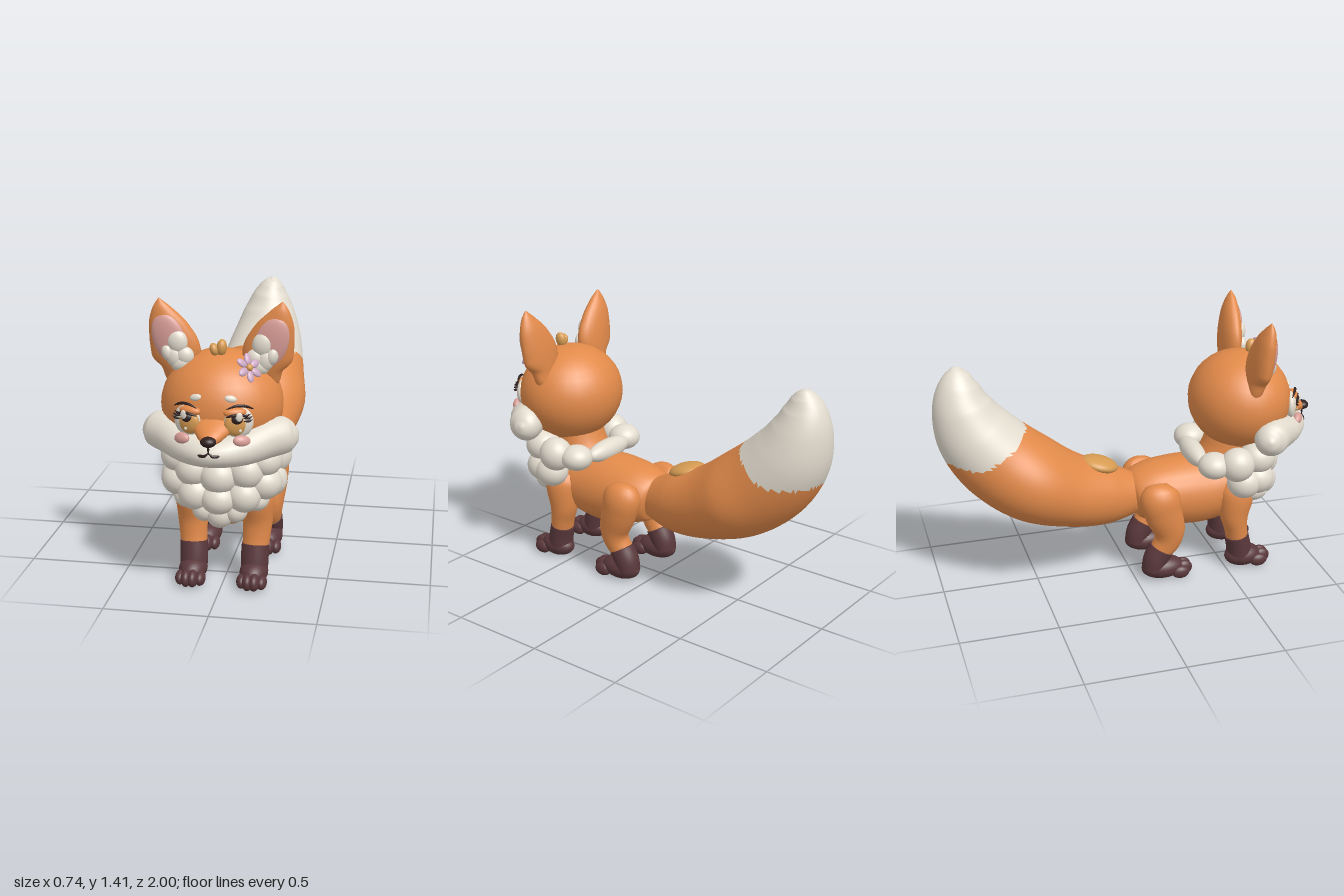
import * as THREE from 'three';

const colour = (name, color) => {
  const m = new THREE.MeshStandardMaterial({ color });
  m.name = name;
  return m;
};
const orange = colour('orange fur', 0xe28a4a);
const cream = colour('cream fur', 0xe3dccf);
const brown = colour('brown paw', 0x5a383b);
const pink = colour('pink skin', 0xd99e97);
const lilac = colour('lilac petal', 0xcca8c4);
const tan = colour('tan', 0xd69b52);
const dark = colour('dark', 0x30201f);

function add(parent, name, geometry, material) {
  const mesh = new THREE.Mesh(geometry, material);
  mesh.name = name;
  parent.add(mesh);
  return mesh;
}

// Ellipsoid with centre, radii and rotation
function ball(parent, name, material, pos, radii, rot = [0, 0, 0]) {
  const mesh = add(parent, name, new THREE.SphereGeometry(1, 28, 18), material);
  mesh.position.set(...pos);
  mesh.scale.set(...radii);
  mesh.rotation.set(...rot);
  return mesh;
}

// Smooth closed skin through sections [x, y, z, radius along side, radius across]
function sweep(sections, side = [1, 0, 0], rings = 28, sides = 24) {
  const path = new THREE.CatmullRomCurve3(sections.map(s => new THREE.Vector3(s[0], s[1], s[2])));
  const size = new THREE.CatmullRomCurve3(sections.map(s => new THREE.Vector3(s[3], s[4], 0)), false, 'catmullrom');
  const pos = [], index = [];
  for (let i = 0; i <= rings; i++) {
    const p = path.getPoint(i / rings), t = path.getTangent(i / rings), r = size.getPoint(i / rings);
    const u = new THREE.Vector3(...side);
    u.addScaledVector(t, -u.dot(t)).normalize();
    const v = new THREE.Vector3().crossVectors(t, u);
    for (let j = 0; j < sides; j++) {
      const a = j / sides * Math.PI * 2;
      const q = p.clone().addScaledVector(u, Math.cos(a) * Math.max(r.x, 0.001))
        .addScaledVector(v, Math.sin(a) * Math.max(r.y, 0.001));
      pos.push(q.x, q.y, q.z);
      if (i === rings) continue;
      const k = (j + 1) % sides, A = i * sides + j, B = i * sides + k;
      index.push(A, B, A + sides, B, B + sides, A + sides);
    }
  }
  // End caps
  const first = (rings + 1) * sides, end = rings * sides;
  for (const s of [sections[0], sections[sections.length - 1]]) pos.push(s[0], s[1], s[2]);
  for (let j = 0; j < sides; j++) {
    const k = (j + 1) % sides;
    index.push(first, k, j, first + 1, end + j, end + k);
  }
  const g = new THREE.BufferGeometry();
  g.setAttribute('position', new THREE.Float32BufferAttribute(pos, 3));
  g.setIndex(index);
  g.computeVertexNormals();
  return g;
}

// Thin tapered line
const stroke = (parent, name, material, points, r) => add(parent, name,
  sweep(points.map((p, i) => [...p, ...(i % (points.length - 1) ? [r, r] : [r * 0.3, r * 0.3])]), [0, 0, 1], 14, 8), material);

function buildTail(parent) {
  const g = sweep([
    [0, 0.435, 0.05, 0.10, 0.105], [0, 0.455, -0.12, 0.165, 0.162], [-0.005, 0.508, -0.32, 0.225, 0.19],
    [-0.01, 0.607, -0.52, 0.272, 0.22], [0, 0.742, -0.69, 0.235, 0.218], [0.01, 0.89, -0.80, 0.196, 0.192],
    [0.015, 1.03, -0.85, 0.148, 0.148], [0.02, 1.13, -0.86, 0.1, 0.105], [0.027, 1.19, -0.857, 0.06, 0.064],
    [0.03, 1.218, -0.853, 0.03, 0.032], [0.03, 1.227, -0.85, 0.003, 0.003]], [1, 0, 0], 90, 56);
  // Cream tip above a slanting fur line
  const p = g.attributes.position, idx = g.index.array, parts = [[], []];
  for (let i = 0; i < idx.length; i += 3) {
    const tri = [idx[i], idx[i + 1], idx[i + 2]];
    const mid = f => tri.reduce((s, k) => s + f.call(p, k), 0) / 3;
    const line = Math.max(0.76, 0.76 + (mid(p.getZ) + 0.78) * 0.58) + 0.004 * Math.sin(mid(p.getX) * 45);
    parts[mid(p.getY) > line ? 1 : 0].push(...tri);
  }
  g.setIndex([...parts[0], ...parts[1]]);
  g.addGroup(0, parts[0].length, 0);
  g.addGroup(parts[0].length, parts[1].length, 1);
  add(parent, 'tail', g, [orange, cream]);
  ball(parent, 'tailSpot', tan, [-0.015, 0.637, -0.16], [0.088, 0.038, 0.1], [0.28, 0, 0]);
}

function buildPaw(parent, name, x, z, length) {
  ball(parent, name, brown, [x, 0.06, z], [0.069, 0.06, length]);
  for (let i = 0; i < 4; i++) {
    const o = i - 1.5, inner = Math.abs(o) < 1;
    ball(parent, name + 'Toe', brown, [x + o * 0.032, inner ? 0.045 : 0.038, z + length * 0.75 + (inner ? 0.025 : 0)],
      [0.026, inner ? 0.042 : 0.035, 0.048]);
  }
}

function buildLegs(parent, s) {
  add(parent, 'frontLeg', sweep([[s * 0.14, 0.5, 0.55, 0.06, 0.075], [s * 0.158, 0.44, 0.55, 0.08, 0.094],
    [s * 0.16, 0.32, 0.54, 0.074, 0.077], [s * 0.156, 0.24, 0.552, 0.068, 0.062], [s * 0.152, 0.17, 0.565, 0.064, 0.058]]), orange);
  add(parent, 'frontSock', sweep([[s * 0.152, 0.19, 0.56, 0.068, 0.064], [s * 0.15, 0.12, 0.575, 0.068, 0.066],
    [s * 0.15, 0.05, 0.585, 0.066, 0.07]]), brown);
  buildPaw(parent, 'frontPaw', s * 0.15, 0.6, 0.1);
  add(parent, 'hindLeg', sweep([[s * 0.13, 0.525, 0.12, 0.04, 0.06], [s * 0.165, 0.485, 0.12, 0.083, 0.104],
    [s * 0.175, 0.39, 0.14, 0.08, 0.1], [s * 0.172, 0.28, 0.175, 0.068, 0.084], [s * 0.167, 0.22, 0.168, 0.063, 0.072],
    [s * 0.16, 0.15, 0.125, 0.058, 0.058]]), orange);
  add(parent, 'hindSock', sweep([[s * 0.16, 0.172, 0.138, 0.066, 0.068], [s * 0.16, 0.11, 0.105, 0.066, 0.066],
    [s * 0.16, 0.05, 0.09, 0.062, 0.06]]), brown);
  buildPaw(parent, 'hindPaw', s * 0.16, 0.145, 0.115);
}

function buildRuff(parent) {
  // Chest tufts on the centre line, then mirrored ones: x, y, z, radii
  const centre = [[0, 0.585, 0.72, 0.09, 0.085, 0.085], [0, 0.475, 0.725, 0.085, 0.075, 0.08],
    [0, 0.39, 0.69, 0.068, 0.072, 0.07], [0, 0.635, 0.355, 0.16, 0.056, 0.055]];
  const pairs = [[0.125, 0.61, 0.69, 0.088, 0.088, 0.09], [0.115, 0.49, 0.695, 0.085, 0.085, 0.085],
    [0.075, 0.41, 0.69, 0.058, 0.062, 0.06], [0.2, 0.54, 0.64, 0.09, 0.085, 0.09],
    [0.165, 0.455, 0.64, 0.065, 0.06, 0.075], [0.22, 0.53, 0.565, 0.085, 0.085, 0.09],
    [0.2, 0.655, 0.64, 0.09, 0.085, 0.095], [0.235, 0.64, 0.52, 0.085, 0.09, 0.09],
    [0.2, 0.635, 0.405, 0.085, 0.068, 0.085]];
  for (const c of centre) ball(parent, 'ruffTuft', cream, c.slice(0, 3), c.slice(3));
  for (const s of [1, -1])
    for (const c of pairs) ball(parent, 'ruffTuft', cream, [s * c[0], c[1], c[2]], c.slice(3));
  ball(parent, 'ruffCore', cream, [0, 0.59, 0.61], [0.2, 0.13, 0.11]);
}

function buildEar(parent, s) {
  add(parent, 'ear', sweep([[0.25, 0.985, 0.595, 0.008, 0.01], [0.232, 1.02, 0.60, 0.045, 0.035],
    [0.21, 1.08, 0.612, 0.088, 0.048], [0.213, 1.15, 0.622, 0.118, 0.054], [0.237, 1.23, 0.63, 0.106, 0.052],
    [0.265, 1.31, 0.64, 0.076, 0.042], [0.28, 1.37, 0.648, 0.038, 0.024], [0.286, 1.408, 0.65, 0.003, 0.003]]
    .map(([x, ...r]) => [s * x, ...r])), orange);
  ball(parent, 'innerEar', pink, [s * 0.235, 1.215, 0.662], [0.078, 0.13, 0.028], [0.07, 0, -s * 0.33]);
  for (const [x, y, rx, ry] of [[0.2, 1.212, 0.05, 0.06], [0.165, 1.145, 0.044, 0.046], [0.21, 1.14, 0.042, 0.055],
    [0.242, 1.16, 0.03, 0.045], [0.18, 1.11, 0.05, 0.04]])
    ball(parent, 'earTuft', cream, [s * x, y, 0.668], [rx, ry, 0.033], [0, 0, -s * 0.25]);
}

function buildEye(parent, s) {
  const eye = new THREE.Group();
  eye.name = 'eye';
  eye.position.set(s * 0.112, 0.897, 0.85);
  eye.rotation.y = s * 0.36;
  parent.add(eye);
  ball(eye, 'eyeWhite', cream, [s * 0.006, -0.003, 0], [0.068, 0.072, 0.03]);
  ball(eye, 'iris', tan, [-s * 0.01, -0.006, 0.012], [0.053, 0.055, 0.025]);
  ball(eye, 'upperEyelid', orange, [-s * 0.012, 0.046, 0.006], [0.054, 0.024, 0.028]);
  ball(eye, 'pupil', dark, [-s * 0.008, 0.018, 0.024], [0.028, 0.024, 0.02]);
  ball(eye, 'eyeGlint', cream, [0, 0.034, 0.042], [0.016, 0.021, 0.007]);
  ball(eye, 'eyeGlint', cream, [0.006, -0.032, 0.036], [0.007, 0.008, 0.004]);
  stroke(eye, 'upperLid', dark, [[-s * 0.058, 0.03, 0.025], [-s * 0.03, 0.04, 0.036], [s * 0.015, 0.04, 0.036],
    [s * 0.052, 0.018, 0.026]], 0.007);
  stroke(eye, 'brow', dark, [[-s * 0.055, 0.066, 0.02], [-s * 0.01, 0.08, 0.02], [s * 0.035, 0.075, 0.015],
    [s * 0.072, 0.058, 0.004]], 0.0065);
  for (const [x, y] of [[0.034, 0.036], [0.042, 0.024], [0.044, 0.01]])
    stroke(eye, 'lash', dark, [[s * (x - 0.02), y, 0.03], [s * x, y, 0.033], [s * (x + 0.018), y + 0.008, 0.034]], 0.006);
  ball(parent, 'browSpot', cream, [s * 0.08, 1.0, 0.842], [0.028, 0.016, 0.012], [-0.35, s * 0.3, -s * 0.1]);
  ball(parent, 'blush', pink, [s * 0.137, 0.818, 0.884], [0.043, 0.027, 0.022], [-0.3, s * 0.6, 0]);
}

function buildFlower(parent) {
  const flower = new THREE.Group();
  flower.name = 'flower';
  flower.position.set(0.147, 1.125, 0.765);
  flower.lookAt(0.807, 1.585, 1.285);
  parent.add(flower);
  for (let i = 0; i < 6; i++) {
    const a = i / 6 * Math.PI * 2 + 0.3;
    ball(flower, 'petal', lilac, [Math.cos(a) * 0.042, Math.sin(a) * 0.042, 0.006], [0.028, 0.018, 0.01], [0, 0, a]);
  }
  ball(flower, 'flowerCentre', tan, [0, 0, 0.012], [0.016, 0.016, 0.012]);
}

function buildHead(parent) {
  ball(parent, 'head', orange, [0, 0.915, 0.605], [0.288, 0.255, 0.267]);
  const half = [[0.365, 0.8, 0.645, 0.008, 0.008], [0.35, 0.796, 0.65, 0.048, 0.045], [0.31, 0.79, 0.665, 0.084, 0.082],
    [0.23, 0.785, 0.72, 0.092, 0.092], [0.12, 0.762, 0.825, 0.078, 0.087]];
  add(parent, 'muzzle', sweep([...half.map(([x, ...r]) => [-x, ...r]), [0, 0.755, 0.882, 0.066, 0.088],
    ...half.reverse()], [0, 1, 0], 48), cream);
  add(parent, 'snoutBridge', sweep([[0, 0.885, 0.76, 0.12, 0.07], [0, 0.865, 0.86, 0.095, 0.045],
    [0, 0.838, 0.93, 0.055, 0.032], [0, 0.828, 0.965, 0.028, 0.02]]), orange);
  ball(parent, 'nose', dark, [0, 0.833, 0.967], [0.036, 0.024, 0.033]);
  stroke(parent, 'noseLine', dark, [[0, 0.82, 0.975], [0, 0.8, 0.968], [0, 0.775, 0.97]], 0.005);
  for (const s of [1, -1]) {
    stroke(parent, 'mouth', dark, [[0, 0.782, 0.968], [s * 0.02, 0.766, 0.968], [s * 0.045, 0.766, 0.956],
      [s * 0.065, 0.782, 0.938]], 0.007);
    buildEar(parent, s);
    buildEye(parent, s);
  }
  // Crown tuft
  ball(parent, 'crownTuft', tan, [0.008, 1.19, 0.665], [0.024, 0.04, 0.03], [0.1, 0, -0.1]);
  ball(parent, 'crownTuft', tan, [-0.025, 1.183, 0.675], [0.02, 0.03, 0.026], [0, 0, 0.3]);
  buildFlower(parent);
}

export function createModel() {
  const fox = new THREE.Group();
  fox.name = 'fox';
  add(fox, 'body', sweep([[0, 0.43, 0.005, 0.07, 0.07], [0, 0.435, 0.03, 0.14, 0.125], [0, 0.44, 0.12, 0.18, 0.16],
    [0, 0.43, 0.27, 0.193, 0.187], [0, 0.428, 0.42, 0.19, 0.185], [0, 0.46, 0.56, 0.17, 0.16], [0, 0.48, 0.66, 0.08, 0.08]]), orange);
  add(fox, 'neck', sweep([[0, 0.5, 0.45, 0.15, 0.12], [0, 0.63, 0.53, 0.14, 0.125], [0, 0.78, 0.58, 0.14, 0.125]]), orange);
  buildTail(fox);
  for (const s of [1, -1]) buildLegs(fox, s);
  buildRuff(fox);
  buildHead(fox);
  return fox;
}
